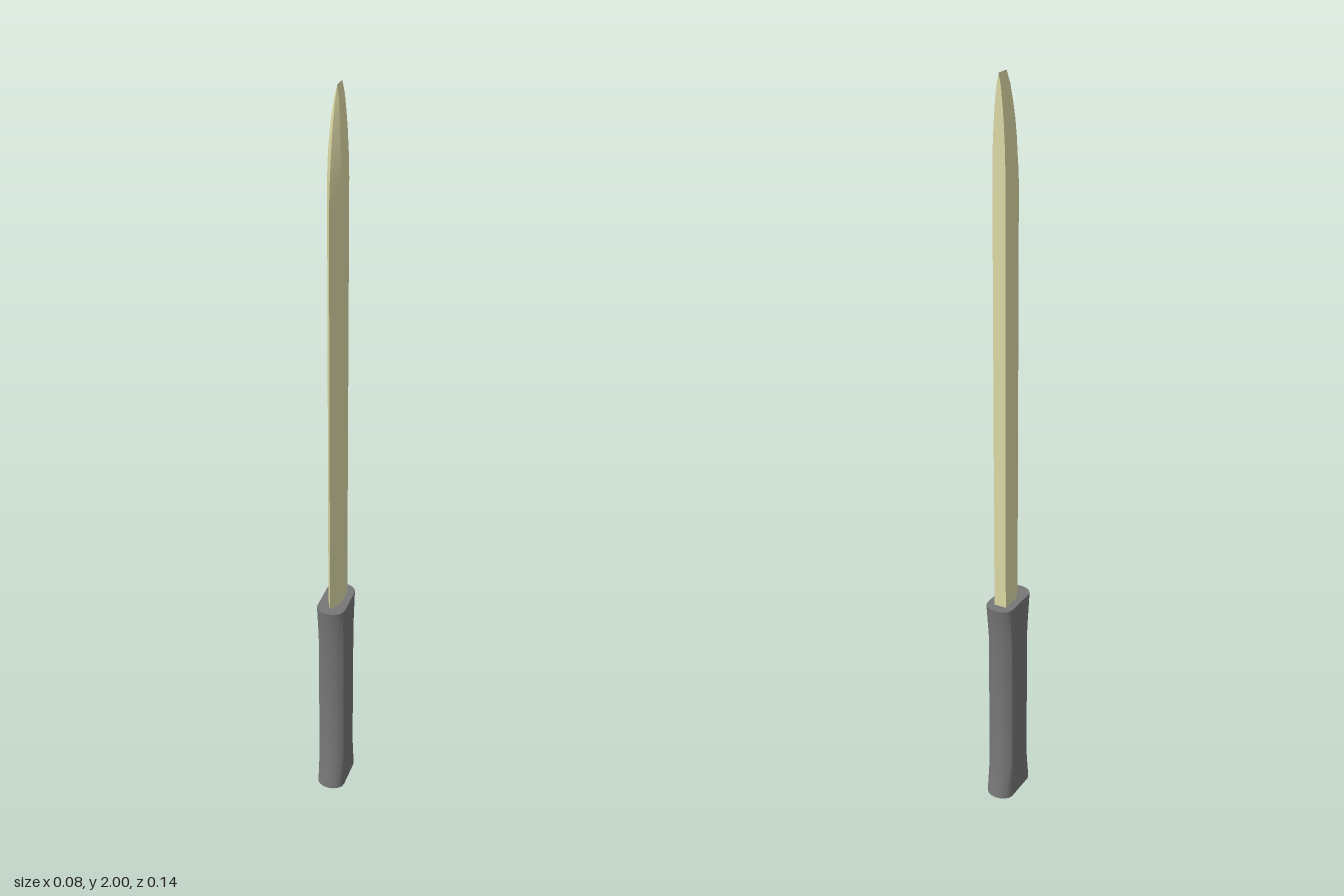
import * as THREE from 'three';
import { toCreasedNormals } from 'three/addons/utils/BufferGeometryUtils.js';

// Skins a stack of equal-length rings [x, y, z], each counter-clockwise from above, with end caps.
function loft(rings, crease) {
  const n = rings[0].length, last = (rings.length - 1) * n, index = [];
  for (let r = 0; r < rings.length - 1; r++) {
    for (let i = 0; i < n; i++) {
      const a = r * n + i, b = r * n + (i + 1) % n;
      index.push(a, b, b + n, a, b + n, a + n);
    }
  }
  for (let i = 1; i < n - 1; i++) {
    index.push(0, i + 1, i, last, last + i, last + i + 1);
  }
  const geometry = new THREE.BufferGeometry();
  geometry.setAttribute('position', new THREE.Float32BufferAttribute(rings.flat(2), 3));
  geometry.setIndex(index);
  return toCreasedNormals(geometry, crease);
}

function part(name, geometry, color) {
  const mesh = new THREE.Mesh(geometry, new THREE.MeshStandardMaterial({ color }));
  mesh.name = name;
  return mesh;
}

// Grip outline: flat sides with rounded front and back, s scales its depth.
function gripRing(y, s) {
  const ring = [], steps = 8;
  for (const side of [-1, 1]) {
    for (let i = 0; i <= steps; i++) {
      const t = (i / steps) * Math.PI;
      ring.push([-side * 0.038 * Math.cos(t), y, side * s * (0.043 + 0.029 * Math.sin(t))]);
    }
  }
  return ring;
}

// Blade outline: flat spine, parallel sides, bevel down to the cutting edge.
function bladeRing([y, w, bevel, edge]) {
  const spine = -0.043;
  return [[w, y, bevel], [w, y, spine], [-w, y, spine], [-w, y, bevel], [0, y, edge]];
}

export function createModel() {
  const group = new THREE.Group();
  group.name = 'knife';

  // Handle flared at both ends
  const grip = [[0, 1], [0.1, 0.78], [0.51, 0.78], [0.615, 1]].map(([y, s]) => gripRing(y, s));
  group.add(part('handle', loft(grip, 0.5), 0x777777));

  // Blade: height, half thickness, bevel line z, cutting edge z
  const blade = [
    [0.6, 0.017, 0.014, 0.051],
    [1.73, 0.017, 0.014, 0.051],
    [1.78, 0.017, 0.014, 0.047],
    [1.84, 0.0155, 0.014, 0.039],
    [1.89, 0.013, 0.01, 0.03],
    [1.93, 0.01, 0.005, 0.02],
    [1.97, 0.006, -0.001, 0.007],
    [2, 0, -0.007, -0.007],
  ].map(bladeRing);
  group.add(part('blade', loft(blade, 0.35), 0xdddaa6));

  return group;
}
